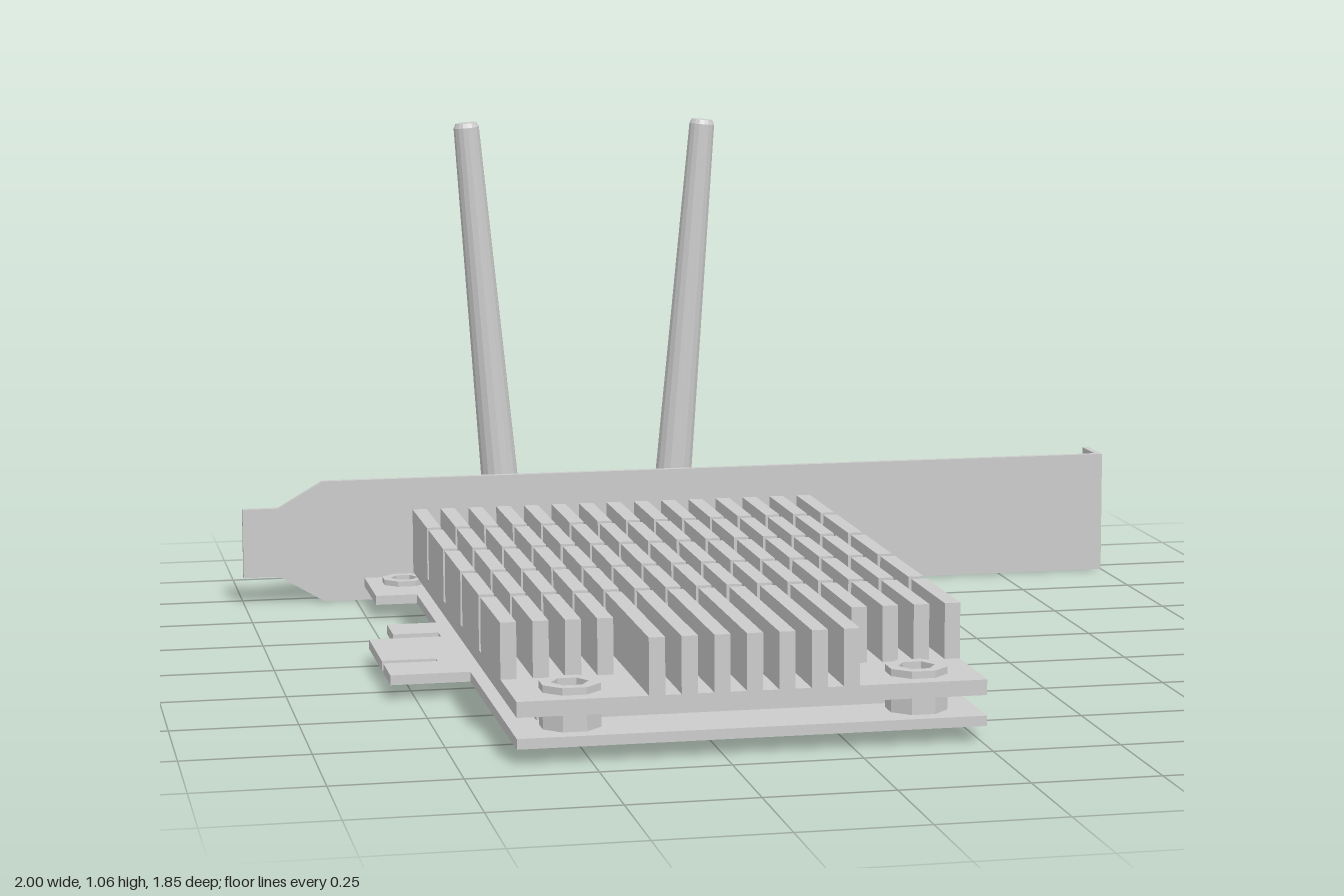
import * as THREE from 'three';

export function createModel() {
  const group = new THREE.Group();
  const mat = new THREE.MeshStandardMaterial({ color: 0xcccccc, flatShading: true });

  const add = (name, geo, parent = group) => {
    const mesh = new THREE.Mesh(geo, mat);
    mesh.name = name;
    parent.add(mesh);
    return mesh;
  };
  // Box given by its extents on each axis
  const box = (name, [x0, x1], [y0, y1], [z0, z1], parent) =>
    add(name, new THREE.BoxGeometry(x1 - x0, y1 - y0, z1 - z0)
      .translate((x0 + x1) / 2, (y0 + y1) / 2, (z0 + z1) / 2), parent);
  const outline = (pts) => new THREE.Shape(pts.map(([a, b]) => new THREE.Vector2(a, b)));
  const extrude = (shape, depth) =>
    new THREE.ExtrudeGeometry(shape, { depth, bevelEnabled: false, curveSegments: 8 });

  // Circuit board with the wide rear end and the notched edge connector
  const board = outline([
    [-0.73, -0.705], [0.35, -0.705], [0.35, -0.49], [0.26, -0.49], [0.26, 0.92], [-0.64, 0.92],
    [-0.64, 0.325], [-0.8, 0.325], [-0.8, 0.21], [-0.69, 0.21], [-0.69, 0.185], [-0.8, 0.185],
    [-0.8, -0.03], [-0.65, -0.03], [-0.65, -0.07], [-0.745, -0.07], [-0.745, -0.175],
    [-0.64, -0.175], [-0.64, -0.49], [-0.73, -0.49],
  ].map(([x, z]) => [x, -z]));
  add('circuitBoard', extrude(board, 0.02).rotateX(-Math.PI / 2).translate(0, 0.03, 0));

  // Mounting bracket: tapered plate and bent end
  const plate = outline([[-1, 0.06], [-0.92, 0.06], [-0.82, 0], [1, 0], [1, 0.273],
    [-0.82, 0.273], [-0.92, 0.215], [-1, 0.215]]);
  add('bracketPlate', extrude(plate, 0.015).translate(0, 0, -0.72));
  box('bracketFlange', [0.985, 1], [0, 0.273], [-0.81, -0.72]);

  // Heat sink: pad, base and rows of fins
  const sink = new THREE.Group();
  sink.name = 'heatSink';
  group.add(sink);
  box('thermalPad', [-0.58, 0.2], [0.05, 0.09], [-0.485, 0.775], sink);
  box('heatSinkBase', [-0.64, 0.26], [0.09, 0.12], [-0.545, 0.92], sink);
  const rows = [[-0.545, -0.309], [-0.284, -0.057], [-0.03, 0.196], [0.22, 0.448], [0.473, 0.92]];
  for (let i = 0; i < 15; i++) {
    const x = -0.64 + i * 0.0621;
    rows.forEach(([z0, z1], r) => {
      // Outer fins stop short to clear the screws
      const end = r === 4 && (i < 4 || i > 10) ? 0.725 : z1;
      box('fin', [x, x + 0.031], [0.119, 0.23], [z0, end], sink);
    });
  }

  // Screws: octagonal ring with a lower hexagonal core
  const ring = (name, r, hole, x, y, z, h) => {
    const s = new THREE.Shape();
    const inner = new THREE.Path();
    for (let i = 0; i < 8; i++) {
      const a = (i + 0.5) * Math.PI / 4;
      s[i ? 'lineTo' : 'moveTo'](r * Math.cos(a), r * Math.sin(a));
    }
    for (let i = 0; i < 6; i++) {
      const a = -i * Math.PI / 3;
      inner[i ? 'lineTo' : 'moveTo'](hole * Math.cos(a), hole * Math.sin(a));
    }
    s.closePath();
    inner.closePath();
    s.holes.push(inner);
    add(name, extrude(s, h).rotateX(-Math.PI / 2).translate(x, y, z));
  };
  for (const x of [-0.525, 0.145]) {
    ring('heatSinkScrew', 0.06, 0.036, x, 0.12, 0.83, 0.014);
    add('standoff', new THREE.CylinderGeometry(0.06, 0.06, 0.04, 8).rotateY(Math.PI / 8)
      .translate(x, 0.07, 0.83));
  }
  for (const x of [-0.65, -0.19, 0.28]) ring('boardScrew', 0.05, 0.03, x, 0.05, -0.63, 0.012);

  // Antennas with their sockets, leaning away from each other
  const rod = (name, r, z0, z1, sides, parent) =>
    add(name, new THREE.CylinderGeometry(r, r, z1 - z0, sides).rotateX(Math.PI / 2)
      .translate(0, 0.12, (z0 + z1) / 2), parent);
  for (const side of [-1, 1]) {
    const unit = new THREE.Group();
    unit.name = side < 0 ? 'rightAntenna' : 'leftAntenna';
    unit.position.x = -0.19 + side * 0.19;
    group.add(unit);
    box('socketBlock', [-0.05, 0.05], [0, 0.172], [-0.677, -0.575], unit);
    rod('socketThread', 0.033, -0.88, -0.67, 12, unit);
    rod('socketNut', 0.044, -0.745, -0.725, 6, unit);
    rod('antennaNut', 0.047, -0.825, -0.755, 6, unit);
    const profile = [[0, 0], [0.04, 0], [0.044, 0.006], [0.044, 0.06], [0.029, 0.98], [0.024, 0.99], [0, 0.99]]
      .map(([r, y]) => new THREE.Vector2(r, y));
    const mast = add('antennaMast', new THREE.LatheGeometry(profile, 16), unit);
    mast.position.set(0, 0.07, -0.883);
    mast.rotation.z = -side * 0.085;
  }

  return group;
}
